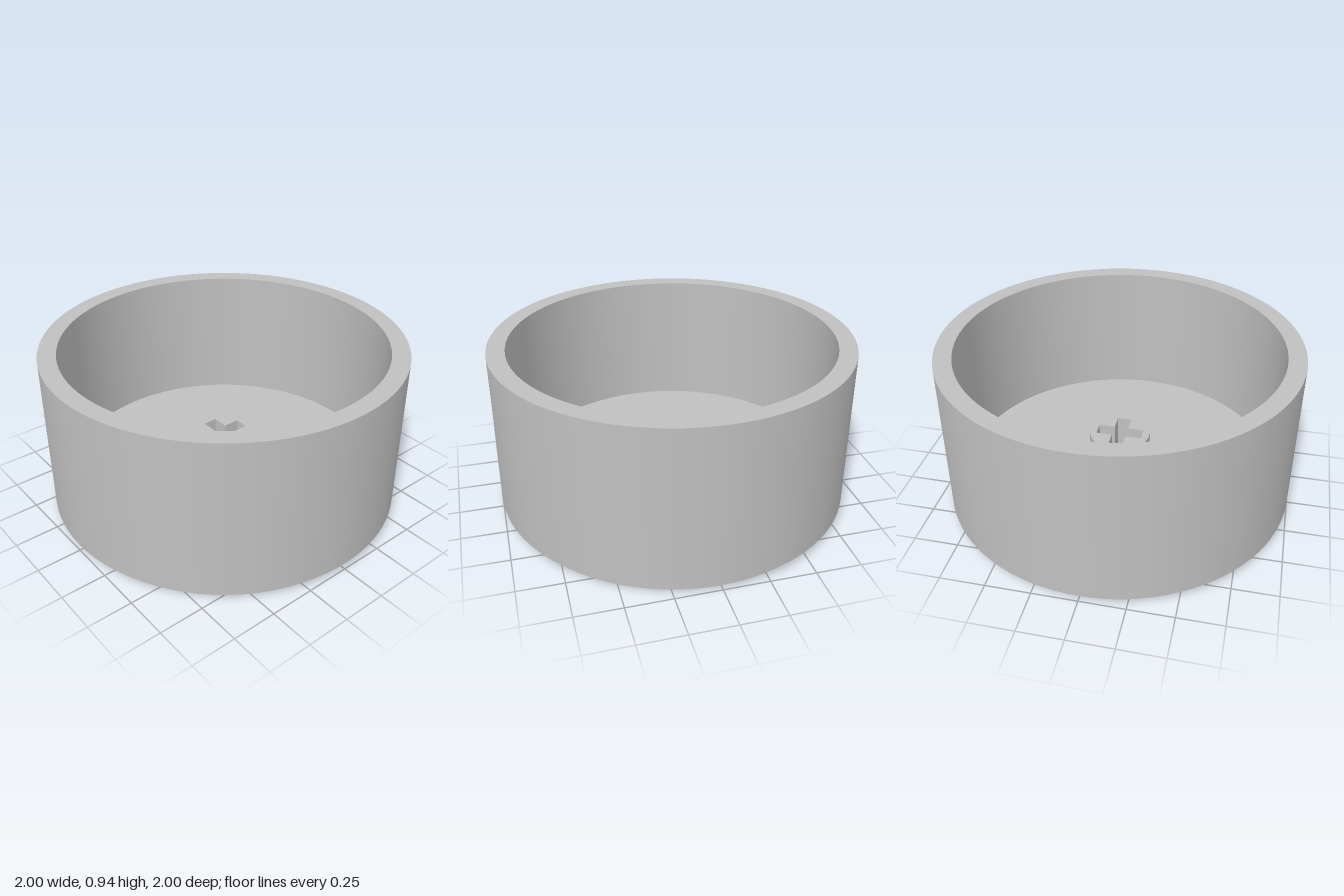
import * as THREE from 'three';
import { toCreasedNormals } from 'three/addons/utils/BufferGeometryUtils.js';

const SEGMENTS = 96;
const FLOOR_Y = 0.157;
const HOLE_DEPTH = 0.04;

function circle(radius) {
  return new THREE.Shape().absarc(0, 0, radius, 0, Math.PI * 2, false);
}

// Elliptical hole at a polar position, turned away from the radius
function slot(degrees, radius) {
  const angle = THREE.MathUtils.degToRad(degrees);
  const turn = angle - THREE.MathUtils.degToRad(31);
  const path = new THREE.Path();
  path.absellipse(Math.cos(angle) * radius, Math.sin(angle) * radius, 0.073, 0.036, 0, Math.PI * 2, true, turn);
  return path;
}

// Plus-shaped outline
function cross(reach, half) {
  const corners = [];
  for (let i = 0; i < 4; i++) {
    const c = Math.round(Math.cos(i * Math.PI / 2)), s = Math.round(Math.sin(i * Math.PI / 2));
    for (const [x, y] of [[reach, -half], [reach, half], [half, half]]) {
      corners.push(new THREE.Vector2(x * c - y * s, x * s + y * c));
    }
  }
  return new THREE.Path(corners.reverse());
}

export function createModel() {
  const model = new THREE.Group();
  const grey = new THREE.MeshStandardMaterial({ color: 0xc0c0c0 });
  grey.name = 'plain grey';

  const add = (name, geometry) => {
    const mesh = new THREE.Mesh(toCreasedNormals(geometry, 0.5), grey);
    mesh.name = name;
    model.add(mesh);
  };

  // Cup body: stepped lower edge, outer wall, flat rim, inner wall and floor
  const profile = [[0.965, 0.0]];
  for (let i = 1; i <= 4; i++) {
    const r = 0.965 + (i - 1) * 0.00875;
    profile.push([r, i * 0.01], [r + 0.00875, i * 0.01]);
  }
  profile.push([1, 0.94], [0.9, 0.94], [0.9, FLOOR_Y], [0, FLOOR_Y]);
  add('cupBody', new THREE.LatheGeometry(profile.map(([x, y]) => new THREE.Vector2(x, y)), SEGMENTS));

  // Underside plate with two mirrored sets of shallow slots
  const plate = circle(0.965);
  for (const half of [5, 185]) {
    for (const [offset, radius] of [[-45, 0.735], [-22, 0.648], [0, 0.725], [22, 0.648], [45, 0.735], [90, 0.725]]) {
      plate.holes.push(slot(half + offset, radius));
    }
  }
  const plateGeometry = new THREE.ExtrudeGeometry(plate, { depth: HOLE_DEPTH, bevelEnabled: false, curveSegments: SEGMENTS / 2 });
  plateGeometry.rotateX(Math.PI / 2).translate(0, HOLE_DEPTH, 0);
  // The plate's outer edge stays just inside the body's lowest step
  plateGeometry.scale(0.9995, 1, 0.9995);
  add('undersidePlate', plateGeometry);

  // Closed ends of the slots
  const ends = new THREE.CircleGeometry(0.95, SEGMENTS);
  ends.rotateX(Math.PI / 2).translate(0, HOLE_DEPTH, 0);
  add('slotEnds', ends);

  // Central hub with a cross-shaped socket
  const hub = circle(0.175);
  hub.holes.push(cross(0.132, 0.04));
  const hubGeometry = new THREE.ExtrudeGeometry(hub, { depth: 0.2, bevelEnabled: false, curveSegments: 24 });
  hubGeometry.rotateX(-Math.PI / 2).translate(0, FLOOR_Y, 0);
  add('crossSocketHub', hubGeometry);

  return model;
}
